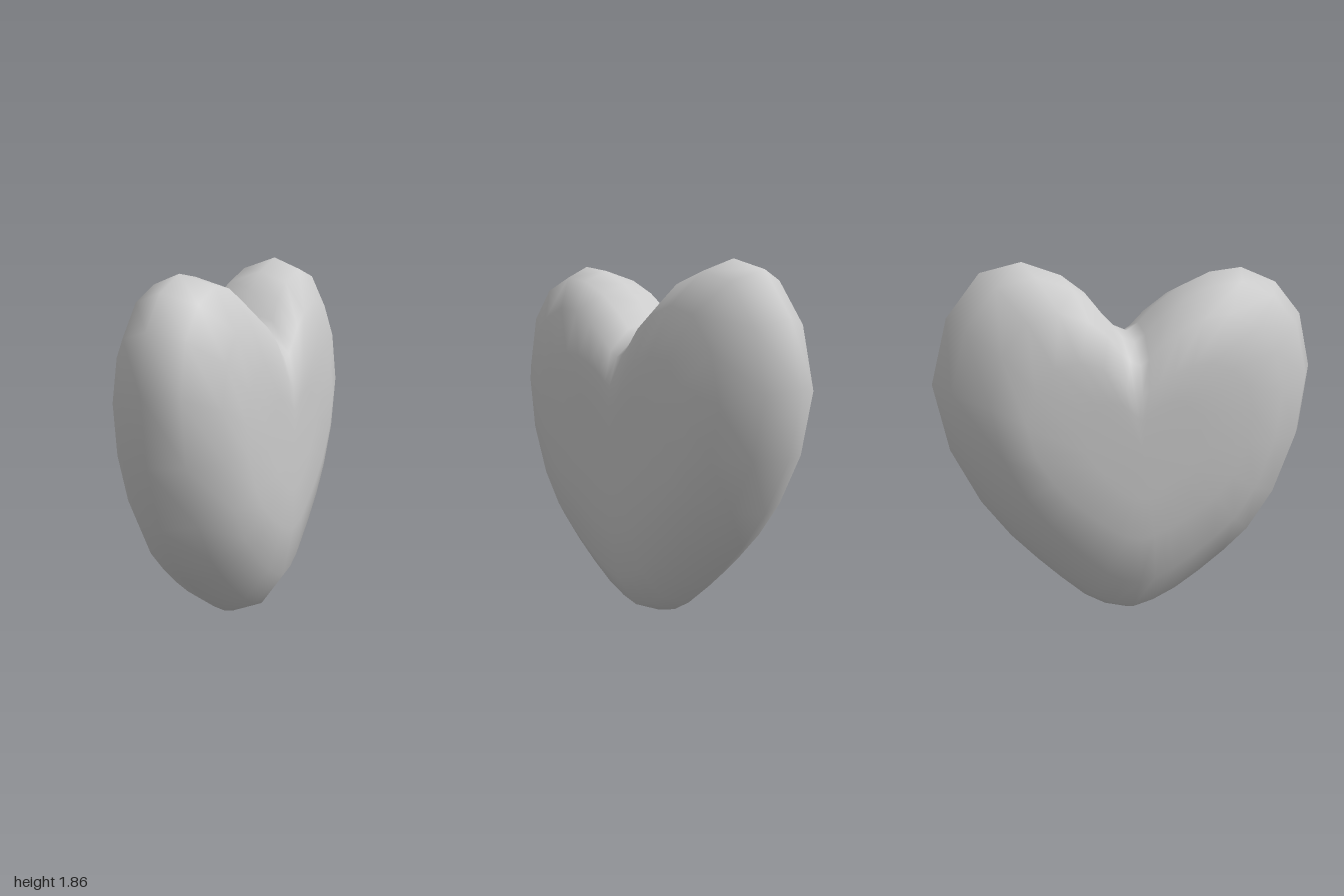
import * as THREE from 'three';
import { mergeVertices } from 'three/addons/utils/BufferGeometryUtils.js';

// Heart outline as [z, y], from the bottom tip up the front lobe, over the notch and down the back
const OUTLINE = [
  [0, 0], [0.11, 0.03], [0.24, 0.09], [0.38, 0.18], [0.53, 0.29], [0.67, 0.41], [0.82, 0.62], [0.95, 0.94],
  [1, 1.28], [0.94, 1.56], [0.8, 1.73], [0.61, 1.81], [0.44, 1.79], [0.28, 1.72], [0.14, 1.62], [0.06, 1.54],
  [0, 1.5], [-0.07, 1.53], [-0.13, 1.59], [-0.22, 1.7], [-0.34, 1.79], [-0.54, 1.86], [-0.75, 1.81], [-0.92, 1.59],
  [-1, 1.26], [-0.92, 0.92], [-0.77, 0.64], [-0.62, 0.45], [-0.48, 0.31], [-0.36, 0.2], [-0.23, 0.09], [-0.12, 0.03],
];
const CENTRE_Y = 0.95;

// Half of the pillow section: x, outline scale in z, outline scale in y
const HALF = [
  [0.345, 0, 0], [0.343, 0.3, 0.27], [0.336, 0.58, 0.49], [0.288, 0.75, 0.755], [0.163, 0.92, 0.935],
];

function heartGeometry() {
  const mirrored = HALF.map(([x, sz, sy]) => [-x, sz, sy]).reverse();
  const rings = [...HALF, [0, 1, 1], ...mirrored];
  const n = OUTLINE.length;
  const positions = [];
  const indices = [];

  // Scaled copies of the outline, stacked across the thickness
  for (const [x, sz, sy] of rings) {
    for (const [z, y] of OUTLINE) positions.push(x, CENTRE_Y + (y - CENTRE_Y) * sy, z * sz);
  }
  for (let i = 0; i < rings.length - 1; i++) {
    for (let j = 0; j < n; j++) {
      const k = (j + 1) % n;
      const a = i * n + j, b = i * n + k, c = a + n, d = b + n;
      if (i < rings.length - 2) indices.push(a, d, c);
      if (i > 0) indices.push(a, b, d);
    }
  }

  const geometry = new THREE.BufferGeometry();
  geometry.setAttribute('position', new THREE.Float32BufferAttribute(positions, 3));
  geometry.setIndex(indices);
  const welded = mergeVertices(geometry); // joins the points at each face centre
  welded.computeVertexNormals();
  return welded;
}

export function createModel() {
  const group = new THREE.Group();
  group.name = 'heartModel';
  const heart = new THREE.Mesh(heartGeometry(), new THREE.MeshStandardMaterial({ color: 0xcccccc }));
  heart.name = 'heart';
  group.add(heart);
  return group;
}
